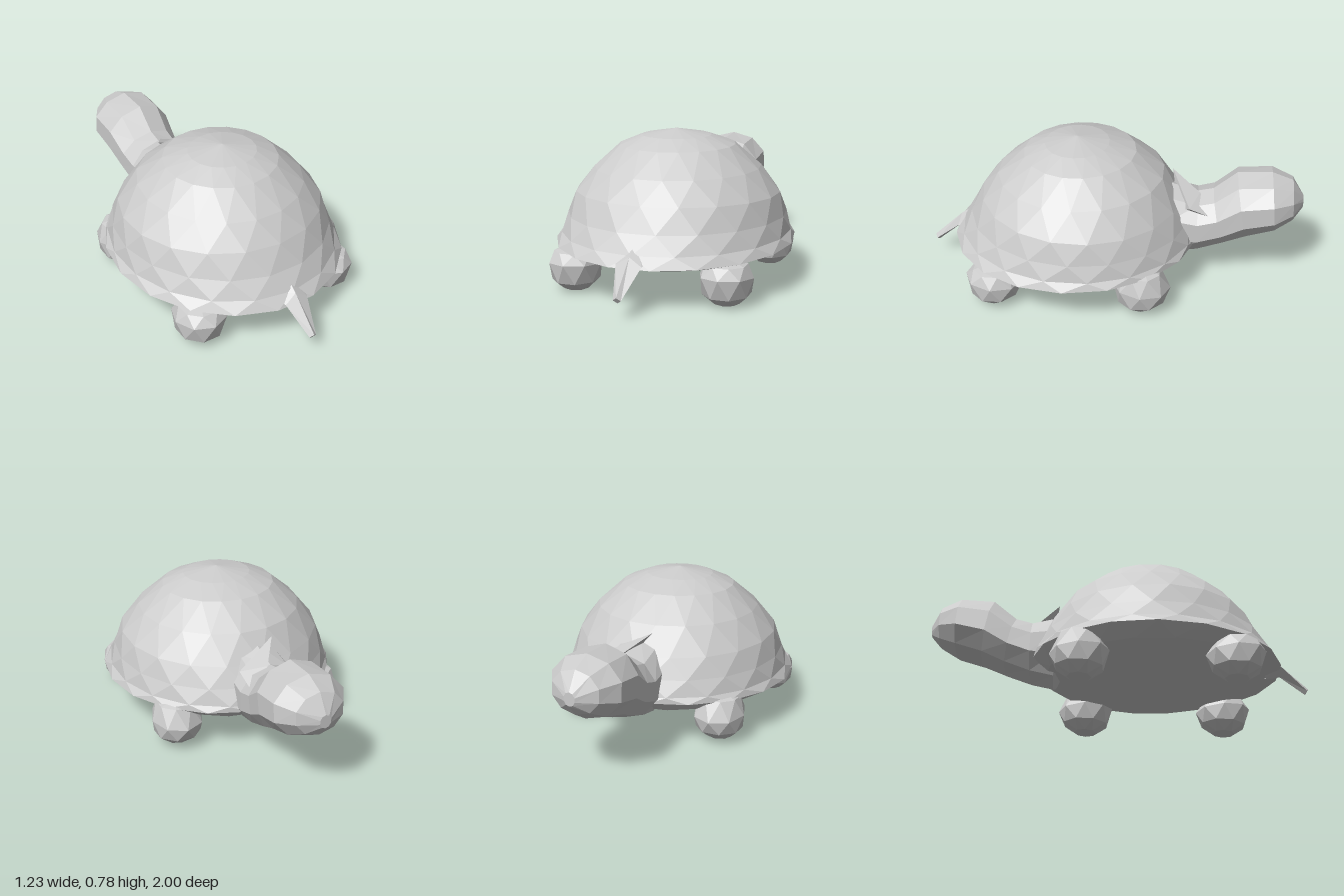
import * as THREE from 'three';

// Skin over oval rings. Each ring is [z1, y1, z2, y2, halfWidth]:
// two opposite points in the middle plane and the sideways radius.
function loft(rings, sides, stagger) {
  const point = (r, i) => {
    const [z1, y1, z2, y2, w] = rings[r];
    const a = ((i + (stagger && r % 2 ? 0.5 : 0)) / sides) * Math.PI * 2;
    const c = Math.cos(a) / 2;
    return [Math.sin(a) * w, (y1 + y2) / 2 + c * (y1 - y2), (z1 + z2) / 2 + c * (z1 - z2)];
  };
  const pos = [];
  const tri = (...corners) => corners.forEach((p) => pos.push(...p));
  for (let r = 0; r < rings.length - 1; r++) {
    for (let i = 0; i < sides; i++) {
      const a = point(r, i), d = point(r, i + 1), b = point(r + 1, i), e = point(r + 1, i + 1);
      if (stagger && r % 2) {
        tri(a, e, b);
        tri(a, d, e);
      } else {
        tri(a, d, b);
        tri(d, e, b);
      }
    }
  }
  const g = new THREE.BufferGeometry();
  g.setAttribute('position', new THREE.Float32BufferAttribute(pos, 3));
  g.computeVertexNormals();
  return g;
}

// Stubby foot: z is its middle, top the height where it meets the shell, sole its lowest point
function footGeometry(z, top, sole) {
  return loft([
    [z, top + 0.03, z, top + 0.03, 0],
    [z - 0.1, top, z + 0.11, top, 0.105],
    [z - 0.15, sole + 0.13, z + 0.15, sole + 0.15, 0.135],
    [z - 0.125, sole + 0.06, z + 0.125, sole + 0.05, 0.12],
    [z - 0.06, sole + 0.01, z + 0.06, sole + 0.005, 0.065],
    [z, sole, z, sole, 0],
  ], 8, true);
}

export function createModel() {
  const group = new THREE.Group();
  const clay = new THREE.MeshStandardMaterial({ color: 0xcccccc, flatShading: true, side: THREE.DoubleSide });
  clay.name = 'greyClay';
  const add = (name, geometry) => {
    const mesh = new THREE.Mesh(geometry, clay);
    mesh.name = name;
    group.add(mesh);
    return mesh;
  };

  // Domed shell with flared rim and shallow belly
  add('shell', loft([
    [0.19, 0.78, 0.19, 0.78, 0],
    [0.02, 0.75, 0.36, 0.745, 0.18],
    [-0.12, 0.705, 0.47, 0.695, 0.3],
    [-0.27, 0.59, 0.61, 0.58, 0.43],
    [-0.36, 0.45, 0.7, 0.47, 0.53],
    [-0.415, 0.35, 0.765, 0.35, 0.565],
    [-0.45, 0.27, 0.82, 0.26, 0.59],
    [-0.46, 0.24, 0.86, 0.205, 0.615],
    [-0.38, 0.175, 0.75, 0.175, 0.52],
    [-0.1, 0.12, 0.5, 0.125, 0.3],
    [0.2, 0.113, 0.2, 0.113, 0],
  ], 18, true));

  // Neck rising into a blunt head, pointing to -z
  add('neckAndHead', loft([
    [-0.2, 0.3, -0.2, 0.3, 0],
    [-0.29, 0.53, -0.34, 0.115, 0.165],
    [-0.45, 0.485, -0.46, 0.15, 0.175],
    [-0.53, 0.505, -0.6, 0.205, 0.18],
    [-0.65, 0.61, -0.72, 0.255, 0.195],
    [-0.83, 0.62, -0.86, 0.305, 0.195],
    [-0.94, 0.58, -0.95, 0.36, 0.13],
    [-1, 0.49, -1, 0.42, 0.03],
    [-1, 0.455, -1, 0.455, 0],
  ], 10, false));

  // Low skin fold where the neck meets the shell
  const fold = new THREE.BufferGeometry();
  fold.setAttribute('position', new THREE.Float32BufferAttribute([
    -0.08, 0.565, -0.31,
    0.15, 0.46, -0.41,
    0.02, 0.485, -0.46,
    0.14, 0.4, -0.55,
    0.06, 0.4, -0.35,
  ], 3));
  fold.setIndex([0, 1, 2, 2, 1, 3, 0, 4, 1, 0, 2, 4, 1, 4, 3]);
  add('neckFold', fold.toNonIndexed()).geometry.computeVertexNormals();

  // Pointed tail, from tip to base
  add('tail', loft([
    [0.99, 0.095, 0.99, 0.095, 0],
    [1.0, 0.11, 0.98, 0.08, 0.02],
    [0.84, 0.26, 0.86, 0.18, 0.065],
    [0.74, 0.33, 0.78, 0.17, 0.1],
  ], 4, false));

  // Four stubby feet
  for (const side of [-1, 1]) {
    const label = side > 0 ? 'Left' : 'Right';
    add('tailEndFoot' + label, footGeometry(0.585, 0.2, 0)).position.x = side * 0.395;
    add('headEndFoot' + label, footGeometry(-0.185, 0.24, 0.01)).position.x = side * 0.4;
  }
  return group;
}
